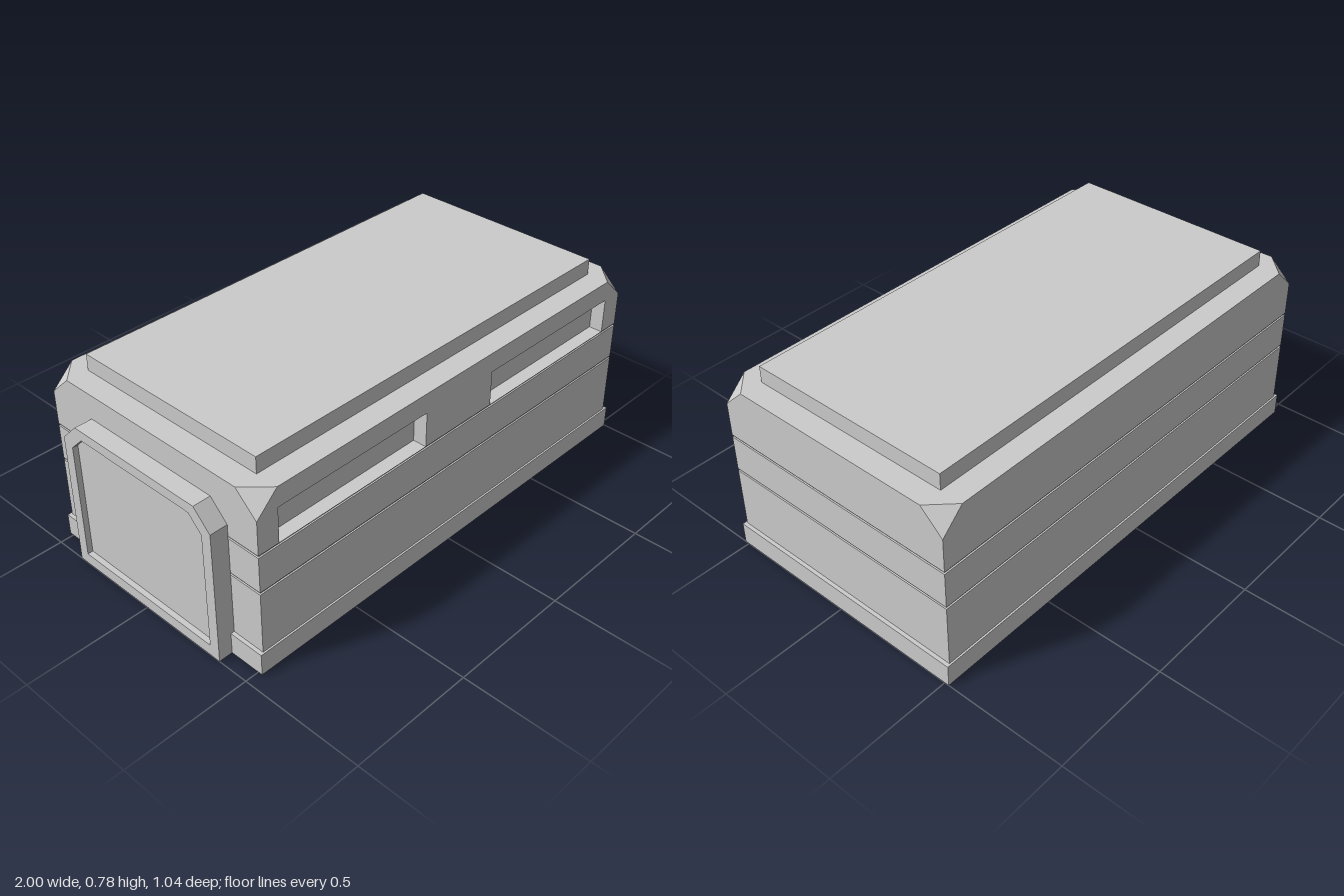
import * as THREE from 'three';

const CX = 0.028;                      // body centre, shifted by the side hatch
const HX = 0.957, HZ = 0.511;          // body half sizes
const LX = 0.868, LZ = 0.42;           // lid half sizes, also the corner cut
const SEAM = 0.495, CUT = 0.63, DECK = 0.715, TOP = 0.78;
const SLOT_TOP = 0.635, SLOT_IN = 0.175, SLOT_DEPTH = 0.055;

const material = new THREE.MeshStandardMaterial({
  color: 0xcccccc, flatShading: true, side: THREE.DoubleSide,
});

function add(parent, name, geometry) {
  const mesh = new THREE.Mesh(geometry, material);
  mesh.name = name;
  parent.add(mesh);
  return mesh;
}

function fromTriangles(points) {
  const g = new THREE.BufferGeometry();
  g.setAttribute('position', new THREE.Float32BufferAttribute(points.flat(), 3));
  g.computeVertexNormals();
  return g;
}

// Rectangular sections [halfX, halfZ, y] joined in order
function loft(rings) {
  const signs = [[1, 1], [1, -1], [-1, -1], [-1, 1]];
  const points = [];
  for (let r = 0; r < rings.length - 1; r++) {
    for (let i = 0; i < 4; i++) {
      const at = (ring, s) => [ring[0] * s[0], ring[2], ring[1] * s[1]];
      const s = signs[i], t = signs[(i + 1) % 4];
      const a = at(rings[r], s), b = at(rings[r], t);
      const c = at(rings[r + 1], t), d = at(rings[r + 1], s);
      points.push(a, b, c, a, c, d);
    }
  }
  return fromTriangles(points);
}

const polygon = (pts) => new THREE.Shape(pts.map(([x, y]) => new THREE.Vector2(x, y)));

// Upper wall with cut top corners; notches leave room for the slots
function wall(half, inner, distance, angle, notches = []) {
  const shape = polygon([[-half, SEAM], ...notches, [half, SEAM], [half, CUT],
    [inner, DECK], [-inner, DECK], [-half, CUT]]);
  return new THREE.ShapeGeometry(shape).translate(0, 0, distance).rotateY(angle);
}

// Hatch outline with cut top corners
const hatchOutline = (w, bottom, top, cut) => [[-w, bottom], [w, bottom],
  [w, top - cut], [w - cut, top], [cut - w, top], [-w, top - cut]];

export function createModel() {
  const model = new THREE.Group();
  model.name = 'crate';
  const body = new THREE.Group();
  body.name = 'body';
  body.position.x = CX;
  model.add(body);

  // Plinth and lower body with two thin grooves, open underneath
  add(body, 'plinth', loft([[0.972, 0.518, 0], [0.972, 0.518, 0.087], [HX, HZ, 0.087]]));
  const profile = [[HX, HZ, 0.087]];
  for (const y of [0.335, 0.486]) {
    const g = 0.006;
    profile.push([HX, HZ, y], [HX - g, HZ - g, y], [HX - g, HZ - g, y + 0.009], [HX, HZ, y + 0.009]);
  }
  add(body, 'lowerBody', loft(profile));

  // Upper walls
  const notches = [[-LX, SEAM], [-LX, SLOT_TOP], [-SLOT_IN, SLOT_TOP], [-SLOT_IN, SEAM],
    [SLOT_IN, SEAM], [SLOT_IN, SLOT_TOP], [LX, SLOT_TOP], [LX, SEAM]];
  add(body, 'frontWall', wall(HX, LX, HZ, 0, notches));
  add(body, 'backWall', wall(HX, LX, HZ, Math.PI));
  add(body, 'leftWall', wall(HZ, LZ, HX, Math.PI / 2));
  add(body, 'rightWall', wall(HZ, LZ, HX, -Math.PI / 2));

  // Recessed front slots
  const sw = (LX - SLOT_IN) / 2, sh = (SLOT_TOP - SEAM) / 2;
  for (const s of [-1, 1]) {
    const slot = loft([[sw, sh, 0], [sw, sh, -SLOT_DEPTH], [0, 0, -SLOT_DEPTH]]).rotateX(Math.PI / 2);
    add(body, s > 0 ? 'leftSlot' : 'rightSlot', slot)
      .position.set(s * (SLOT_IN + sw), SEAM + sh, HZ);
  }

  // Triangular corner cuts
  const corners = [];
  for (const sx of [-1, 1]) for (const sz of [-1, 1]) {
    const a = [sx * LX, DECK, sz * HZ], b = [sx * HX, DECK, sz * LZ], c = [sx * HX, CUT, sz * HZ];
    corners.push(...(sx * sz > 0 ? [a, c, b] : [a, b, c]));
  }
  add(body, 'cornerCuts', fromTriangles(corners));

  // Deck around the lid
  const deck = polygon([[-LX, -HZ], [LX, -HZ], [HX, -LZ], [HX, LZ],
    [LX, HZ], [-LX, HZ], [-HX, LZ], [-HX, -LZ]]);
  deck.holes.push(polygon([[-LX, -LZ], [-LX, LZ], [LX, LZ], [LX, -LZ]]));
  add(body, 'deck', new THREE.ShapeGeometry(deck).rotateX(-Math.PI / 2).translate(0, DECK, 0));

  // Raised lid
  add(body, 'lid', loft([[LX, LZ, DECK], [LX, LZ, TOP], [0, 0, TOP]]));

  // Side hatch: frame with a recessed panel
  const hatch = new THREE.Group();
  hatch.name = 'sideHatch';
  hatch.position.x = CX - HX;
  model.add(hatch);
  const depth = 1 + CX - HX;
  const inner = hatchOutline(0.33, 0.045, 0.575, 0.058);
  const frame = polygon(hatchOutline(0.373, 0, 0.615, 0.073));
  frame.holes.push(polygon(inner));
  const extrude = (shape, d) =>
    new THREE.ExtrudeGeometry(shape, { depth: d, bevelEnabled: false }).rotateY(-Math.PI / 2);
  add(hatch, 'hatchFrame', extrude(frame, depth));
  add(hatch, 'hatchPanel', extrude(polygon(inner), depth - 0.022));

  return model;
}
